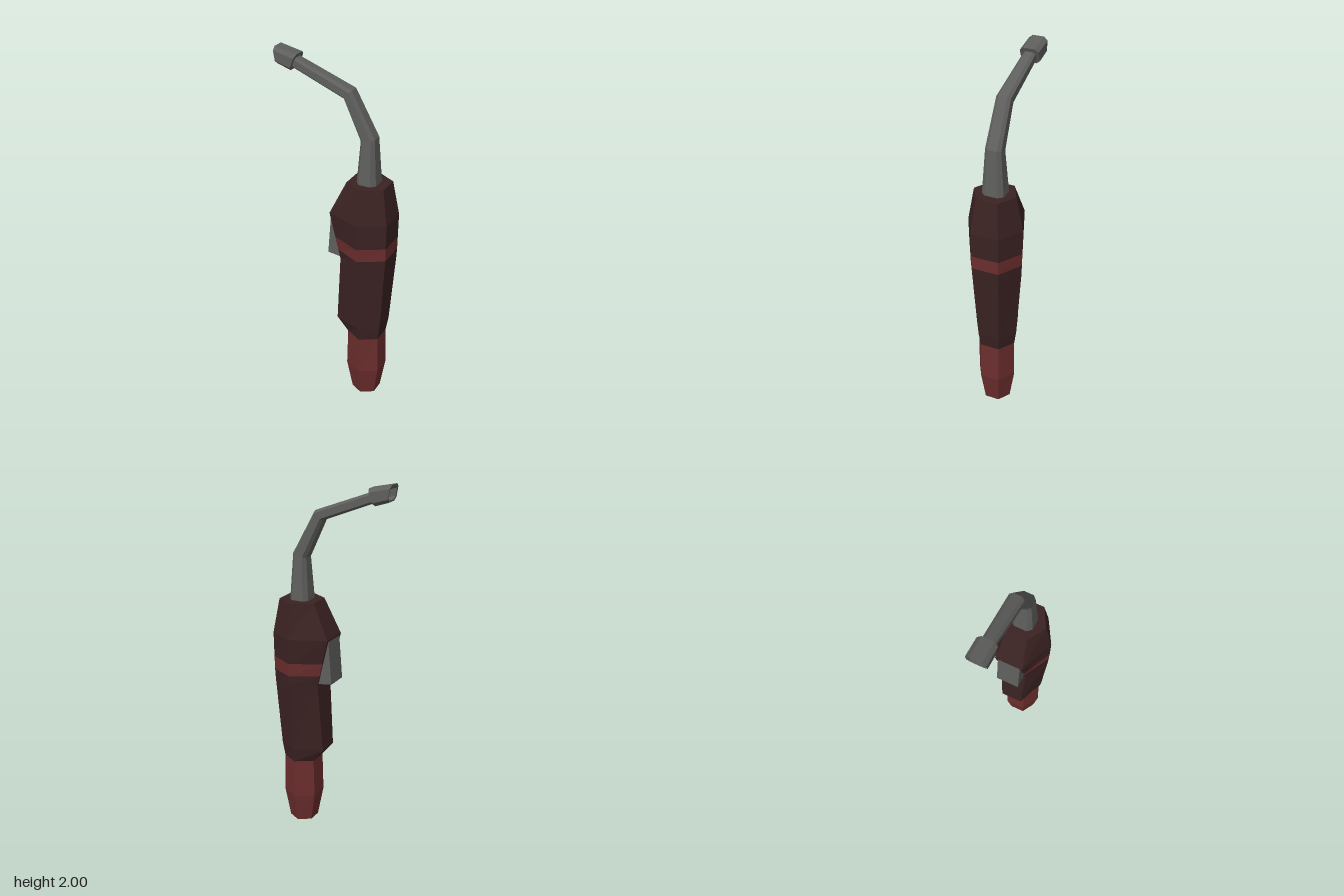
import * as THREE from 'three';

const flat = (name, color) => new THREE.MeshStandardMaterial({ name, color, flatShading: true });

// Joins rings of points with flat faces; caps the first and last ring on request.
function loft(rings, capStart, capEnd) {
  const pos = [];
  const tri = (a, b, c) => pos.push(...a, ...b, ...c);
  const n = rings[0].length;
  for (let k = 0; k < rings.length - 1; k++) {
    const a = rings[k], b = rings[k + 1];
    for (let i = 0; i < n; i++) {
      const j = (i + 1) % n;
      tri(a[i], a[j], b[j]);
      tri(a[i], b[j], b[i]);
    }
  }
  const first = rings[0], last = rings[rings.length - 1];
  for (let i = 1; i < n - 1; i++) {
    if (capStart) tri(first[0], first[i + 1], first[i]);
    if (capEnd) tri(last[0], last[i], last[i + 1]);
  }
  const g = new THREE.BufferGeometry();
  g.setAttribute('position', new THREE.Float32BufferAttribute(pos, 3));
  g.computeVertexNormals();
  return g;
}

// Six-sided handle section: height, back edge, front edge, half width.
const hex = ([y, l, r, z]) => [
  [r, y, z / 2], [r, y, -z / 2], [0.2, y, -z], [l, y, -z / 2], [l, y, z / 2], [0.2, y, z],
];

// Chamfered tube section between an inner and an outer point of the side profile.
const OCT = [[1, 0.6], [1, -0.6], [0.6, -1], [-0.6, -1], [-1, -0.6], [-1, 0.6], [-0.6, 1], [0.6, 1]];
const oct = ([xi, yi, xo, yo, z]) => OCT.map(([u, w]) => [
  (xi + xo) / 2 + (u * (xo - xi)) / 2,
  (yi + yo) / 2 + (u * (yo - yi)) / 2,
  w * z,
]);

export function createModel() {
  const model = new THREE.Group();
  const dark = flat('dark maroon', 0x3b2222);
  const red = flat('dull red', 0x6b2d2d);
  const grey = flat('grey metal', 0x5e5e5d);
  const add = (name, geometry, material) => {
    const mesh = new THREE.Mesh(geometry, material);
    mesh.name = name;
    model.add(mesh);
  };

  // Handle, split by the coloured band
  const bandLow = [0.925, 0.052, 0.334, 0.154];
  const bandHigh = [1.0, 0.034, 0.335, 0.157];
  add('lowerHandle', loft([
    [0.39, 0.105, 0.29, 0.11], [0.47, 0.04, 0.303, 0.122], [0.87, 0.065, 0.331, 0.152], bandLow,
  ].map(hex), true, false), dark);
  add('handleBand', loft([bandLow, bandHigh].map(hex), false, false), red);
  add('upperHandle', loft([
    bandHigh, [1.14, 0, 0.337, 0.16], [1.335, 0.092, 0.305, 0.122],
  ].map(hex), false, true), dark);

  // Butt of the handle
  add('butt', loft([
    [0, 0.13, 0.268, 0.081], [0.17, 0.1, 0.295, 0.11], [0.39, 0.105, 0.29, 0.109],
  ].map(hex), true, false), red);

  // Wedge-shaped trigger
  const wedge = new THREE.Shape([
    [0.002, 1.13], [-0.016, 0.885], [0.08, 0.873], [0.08, 1.13],
  ].map(([x, y]) => new THREE.Vector2(x, y)));
  const trigger = new THREE.ExtrudeGeometry(wedge, { depth: 0.13, bevelEnabled: false });
  trigger.translate(0, 0, -0.065);
  add('trigger', trigger, grey);

  // Bent neck
  add('neck', loft([
    [0.138, 1.32, 0.252, 1.32, 0.063], [0.155, 1.57, 0.234, 1.59, 0.045],
    [0.055, 1.782, 0.1, 1.832, 0.041], [-0.245, 1.9, -0.222, 1.953, 0.034],
  ].map(oct), false, true), grey);

  // Nozzle with a recessed mouth
  add('nozzle', loft([
    [-0.248, 1.885, -0.213, 1.973, 0.053], [-0.325, 1.91, -0.34, 2.0, 0.054],
    [-0.325, 1.919, -0.337, 1.99, 0.044], [-0.265, 1.905, -0.262, 1.965, 0.036],
  ].map(oct), true, true), grey);

  return model;
}
